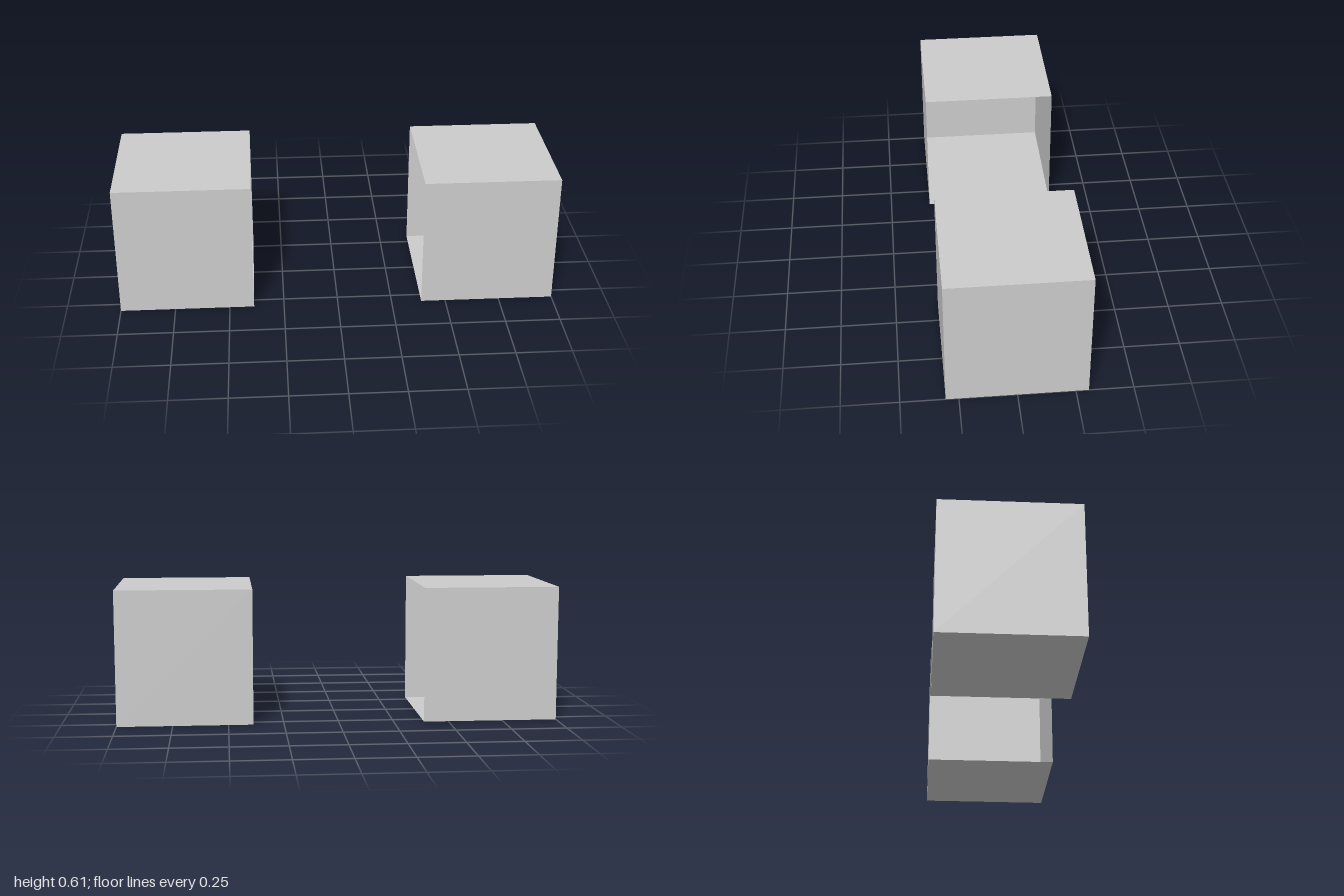
import * as THREE from 'three';

const SIZE = 0.612;
const HALF = SIZE / 2;

// One thin square wall, set at a position and turned to face outward
function panel(name, position, rotation, material) {
  const mesh = new THREE.Mesh(new THREE.PlaneGeometry(SIZE, SIZE), material);
  mesh.name = name;
  mesh.position.set(...position);
  mesh.rotation.set(...rotation);
  return mesh;
}

// Cube shell without its inner wall; side is +1 (left) or -1 (right)
function openCube(name, side, material) {
  const cube = new THREE.Group();
  cube.name = name;
  const q = Math.PI / 2;
  cube.add(
    panel('frontWall', [0, 0, HALF], [0, 0, 0], material),
    panel('backWall', [0, 0, -HALF], [0, Math.PI, 0], material),
    panel('topWall', [0, HALF, 0], [-q, 0, 0], material),
    panel('floor', [0, -HALF, 0], [q, 0, 0], material),
    panel('outerWall', [side * HALF, 0, 0], [0, side * q, 0], material)
  );
  cube.position.set(side * (1 - HALF), HALF, 0);
  return cube;
}

export function createModel() {
  const material = new THREE.MeshStandardMaterial({
    color: 0xcccccc, flatShading: true, side: THREE.DoubleSide
  });
  const model = new THREE.Group();
  model.name = 'openCubePair';
  // The open sides face each other across the gap
  model.add(openCube('leftCube', 1, material), openCube('rightCube', -1, material));
  return model;
}
